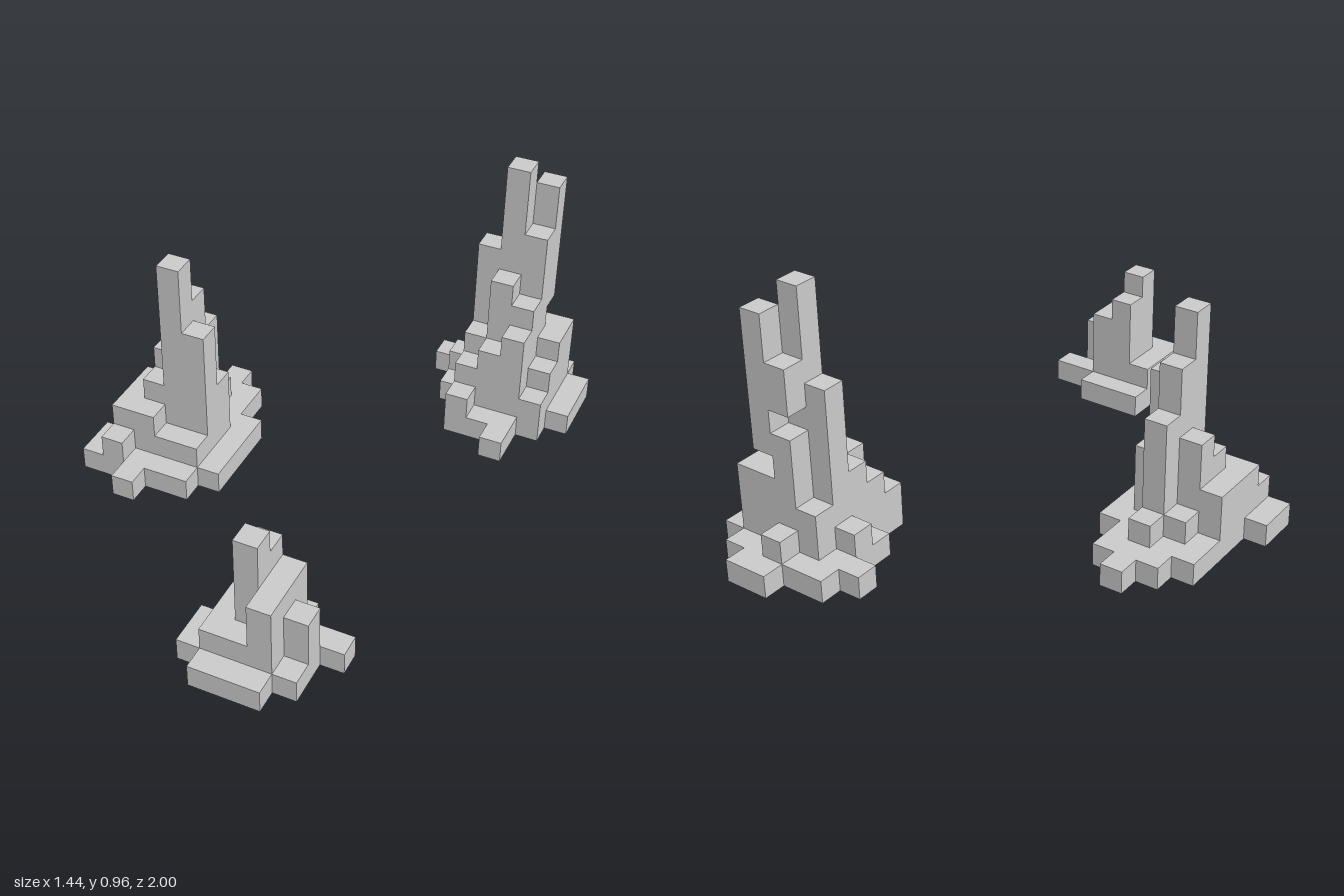
import * as THREE from 'three';
import { mergeGeometries } from 'three/addons/utils/BufferGeometryUtils.js';

const U = 0.08; // side of one block

// One spire: rows run back to front, letters run along +x.
// Each character is a column height in blocks (base 16), '.' is empty.
function spire(name, x0, z0, rows, floating = []) {
  const boxes = [];
  const column = (i, j, from, to) => {
    const g = new THREE.BoxGeometry(U, (to - from) * U, U);
    g.translate(x0 + (i + 0.5) * U, (from + to) * U / 2, z0 + (j + 0.5) * U);
    boxes.push(g);
  };
  rows.forEach((row, j) => [...row].forEach((ch, i) => {
    if (ch !== '.') column(i, j, 0, parseInt(ch, 16));
  }));
  // Overhanging pieces: [column, row, bottom, top]
  floating.forEach(f => column(...f));
  const mesh = new THREE.Mesh(
    mergeGeometries(boxes),
    new THREE.MeshStandardMaterial({ color: 0xcccccc, flatShading: true })
  );
  mesh.name = name;
  return mesh;
}

export function createModel() {
  const group = new THREE.Group();
  group.name = 'rockSpires';

  // Tallest spire, with two overhangs at the back
  group.add(spire('tallBackSpire', 0.16, -1, [
    '...11..',
    '.11211.',
    '1136441',
    '.28c941',
    '.147631',
    '..3452.',
    '..211..',
    '....1..',
  ], [[4, 2, 5, 11], [3, 2, 7, 9]]));

  // Middle spire
  group.add(spire('middleSpire', -0.72, -0.36, [
    '...1..',
    '..111.',
    '.1121.',
    '.12611',
    '.35841',
    '.34a71',
    '133221',
    '12111.',
    '..1...',
  ]));

  // Small front spire
  group.add(spire('smallFrontSpire', 0, 0.6, [
    '.111..',
    '.25411',
    '12643.',
    '12241.',
    '.111..',
  ]));

  return group;
}
